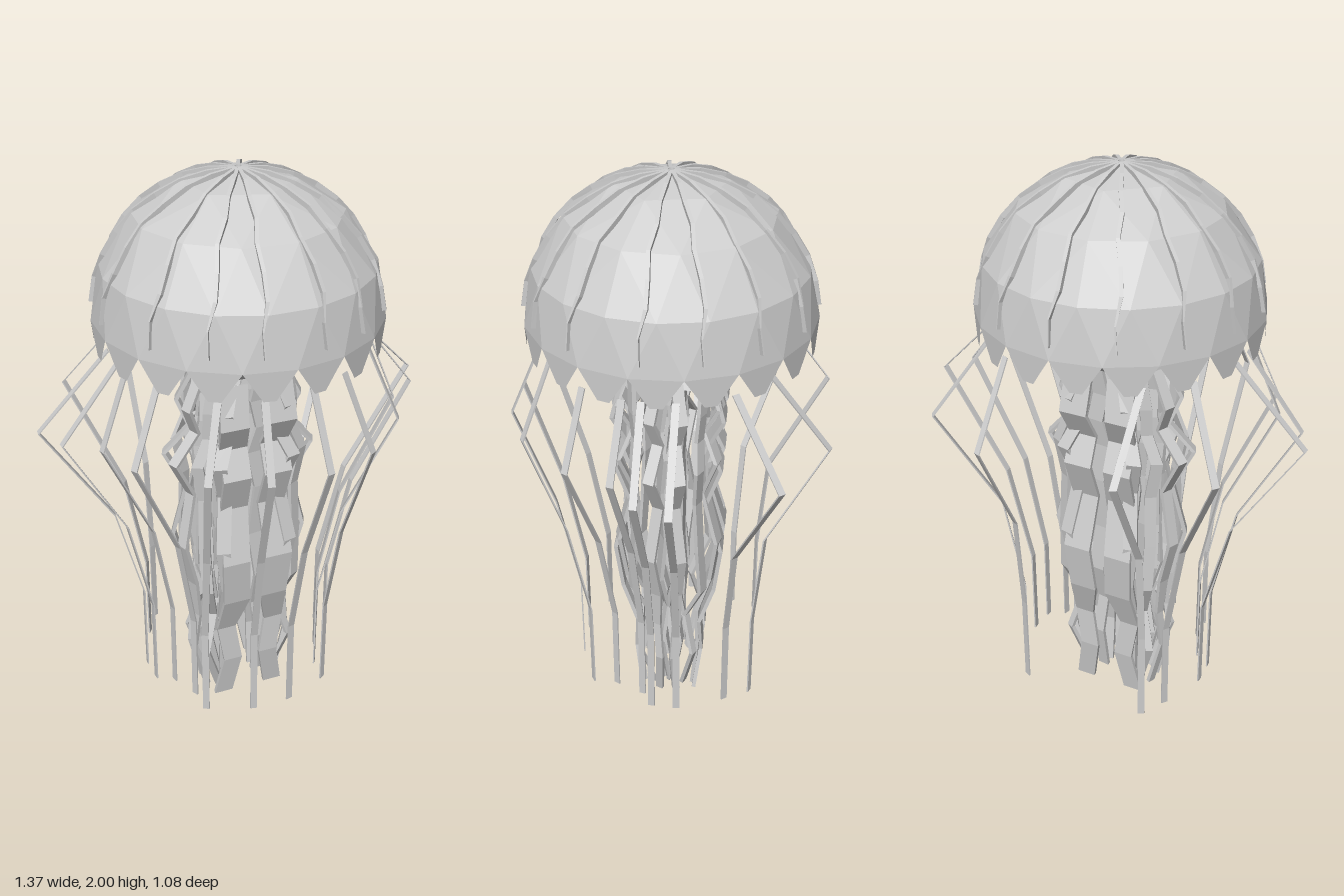
import * as THREE from 'three';

const skin = new THREE.MeshStandardMaterial({ color: 0xcccccc, flatShading: true, side: THREE.DoubleSide });
skin.name = 'pale grey';
const V = (x, y, z) => new THREE.Vector3(x, y, z);
const R = 0.48, H = 0.468, CY = 1.53, SCALLOPS = 18, STEP = Math.PI * 2 / SCALLOPS;

// point on the bell: polar angle from the top, azimuth from the front
function onBell(polar, az, lift = 0) {
  const r = (R + lift) * Math.sin(polar);
  return V(r * Math.sin(az), CY + (H + lift) * Math.cos(polar), r * Math.cos(az));
}

function mesh(name, points, index) {
  const g = new THREE.BufferGeometry().setFromPoints(points);
  g.setIndex(index);
  const flat = g.toNonIndexed();
  flat.computeVertexNormals();
  const m = new THREE.Mesh(flat, skin);
  m.name = name;
  return m;
}

// rectangular strip swept along points; sideOf(i) gives the width direction
function strip(name, path, sideOf, widthOf, thick) {
  const pts = [], idx = [];
  path.forEach((p, i) => {
    const t = path[Math.min(i + 1, path.length - 1)].clone().sub(path[Math.max(i - 1, 0)]).normalize();
    const s = sideOf(i).clone().normalize();
    const n = t.clone().cross(s).normalize();
    const w = widthOf(i) / 2;
    for (const [a, b] of [[-1, -1], [1, -1], [1, 1], [-1, 1]])
      pts.push(p.clone().addScaledVector(s, a * w).addScaledVector(n, b * thick / 2));
    if (i === 0) return;
    const o = (i - 1) * 4;
    for (let j = 0; j < 4; j++) {
      const k = (j + 1) % 4;
      idx.push(o + j, o + k, o + 4 + k, o + j, o + 4 + k, o + 4 + j);
    }
  });
  const e = (path.length - 1) * 4;
  idx.push(0, 2, 1, 0, 3, 2, e, e + 1, e + 2, e, e + 2, e + 3);
  return mesh(name, pts, idx);
}

// faceted dome: rings of 6, 12 and 18 points, then a staggered rim of 18
function makeBell() {
  const rings = [[0, 1], [0.39, 6], [0.78, 12], [1.2, 18], [Math.PI / 2, 18]];
  const pts = [], idx = [], start = [];
  rings.forEach(([polar, n], r) => {
    start.push(pts.length);
    for (let i = 0; i < n; i++) pts.push(onBell(polar, i / n * Math.PI * 2 + (r < 4 ? STEP / 2 : STEP)));
  });
  for (let r = 0; r < 3; r++) {
    const inner = i => start[r] + i % rings[r][1], outer = i => start[r + 1] + i % rings[r + 1][1];
    for (let s = 0; s < 6; s++) {
      for (let k = 0; k <= r; k++) {
        const a = s * r + k, b = s * (r + 1) + k;
        idx.push(inner(a), outer(b), outer(b + 1));
        if (k < r) idx.push(inner(a), outer(b + 1), inner(a + 1));
      }
    }
  }
  for (let i = 0; i < 18; i++) {
    const j = (i + 1) % 18;
    idx.push(start[3] + i, start[4] + i, start[3] + j, start[3] + j, start[4] + i, start[4] + j);
  }
  return mesh('bell', pts, idx);
}

// hanging lobes round the rim, with a notch at the front
function makeSkirt() {
  const pts = [], idx = [];
  const lobe = [[0, 0], [0.2, -0.05], [0.38, -0.097], [0.62, -0.097], [0.8, -0.05], [1, 0]];
  for (let i = 0; i < SCALLOPS; i++) {
    const o = pts.length;
    const a = onBell(Math.PI / 2, i * STEP), b = onBell(Math.PI / 2, (i + 1) * STEP);
    for (const [u, dy] of lobe) pts.push(a.clone().lerp(b, u).setY(CY + dy));
    for (let k = 1; k < 5; k++) idx.push(o, o + k, o + k + 1);
  }
  return mesh('scallopedSkirt', pts, idx);
}

export function createModel() {
  const model = new THREE.Group();
  model.name = 'jellyfish';
  model.add(makeBell(), makeSkirt());

  // shallow underside of the bell
  const under = new THREE.Mesh(new THREE.LatheGeometry(
    [[0, 1.405], [0.2, 1.405], [0.465, 1.525]].map(p => new THREE.Vector2(...p)), 9), skin);
  under.name = 'underside';
  model.add(under);

  // wavy ribs running from the crown to the rim
  const ribs = new THREE.Group();
  ribs.name = 'ribs';
  const wave = [0.15, 0.05, 0.02, 0.04, 0, 0.025, 0.03, -0.01, 0];
  [0, 12, 32, 55, 84, 107, 130, 155].forEach((deg, k) => {
    for (const side of k === 0 ? [1] : [1, -1]) {
      const az = k === 0 ? Math.PI : side * deg * Math.PI / 180;
      const path = wave.map((w, i) => onBell(0.02 + i * 0.183, az + w, -0.004));
      ribs.add(strip('rib', path, () => V(Math.cos(az), 0, -Math.sin(az)), i => i > 6 ? 0.005 : 0.012, 0.016));
    }
  });
  model.add(ribs);

  // long thin tentacles: rim x,z; widest x,z; lower x,z
  const tentacles = new THREE.Group();
  tentacles.name = 'tentacles';
  const layout = [
    [0.08, 0.42, 0.10, 0.53, 0.07, 0.33],
    [0.21, 0.37, 0.28, 0.46, 0.23, 0.27],
    [0.36, 0.24, 0.46, 0.29, 0.24, 0.18],
    [0.42, 0.11, 0.52, 0.14, 0.285, 0.08],
    [0.43, 0.05, 0.63, 0.055, 0.345, 0.04],
    [0.43, -0.055, 0.68, -0.055, 0.35, -0.05],
    [0.36, -0.23, 0.51, -0.385, 0.285, -0.22],
    [0.24, -0.34, 0.24, -0.535, 0.235, -0.31],
  ];
  for (const [ax, az, bx, bz, cx, cz] of layout) {
    for (const m of [1, -1]) {
      const mx = cx + (bx - cx) * 0.28, mz = cz + (bz - cz) * (bz < 0 ? 0.14 : 0.36);
      const path = [V(m * ax, 1.43, az), V(m * bx, 1.175, bz), V(m * mx, 0.8, mz),
        V(m * cx, 0.44, cz), V(m * cx, 0.1, cz)];
      tentacles.add(strip('tentacle', path, () => V(bz, 0, -m * bx), () => 0.024, 0.005));
    }
  }
  model.add(tentacles);

  // wedge-shaped stalk under the bell
  const stalkGeo = new THREE.BoxGeometry(2, 1, 2);
  const pos = stalkGeo.attributes.position;
  for (let i = 0; i < pos.count; i++) {
    const top = pos.getY(i) > 0;
    pos.setXYZ(i, pos.getX(i) * (top ? 0.08 : 0.14), top ? 1.43 : 1.31, pos.getZ(i) * (top ? 0.2 : 0.08));
  }
  stalkGeo.computeVertexNormals();
  const stalk = new THREE.Mesh(stalkGeo, skin);
  stalk.name = 'stalk';
  model.add(stalk);

  // crinkled oral arms in two clusters: x, z, width, bulge, turned sideways
  const arms = new THREE.Group();
  arms.name = 'oralArms';
  const heights = [1.33, 1.22, 1.12, 1.02, 0.88, 0.68, 0.5, 0.35, 0.2, 0];
  const spreadX = [0.75, 0.95, 0.85, 1.2, 0.95, 1.08, 0.95, 0.8, 0.95, 0.65];
  const spreadZ = [1, 1.12, 0.9, 1.08, 0.88, 1.12, 1.08, 0.66, 0.8, 0.56];
  const kinds = [
    [0.075, 0.16, 0.1, -0.6, 0],
    [0.06, 0.045, 0.06, -0.6, 0.1],
    [0.205, 0.04, 0.04, 1, 0.7],
    [0.165, 0.11, 0.04, 1, 0.35],
    [0.11, 0.15, 0.05, 0.7, 0.2],
    [0.13, 0.02, 0.05, 0.8, 0.3],
  ];
  kinds.forEach(([x, z, width, bulge, turn], k) => {
    for (const mx of [1, -1]) for (const mz of [1, -1]) {
      const path = heights.map((y, i) => {
        const kink = (i % 2 ? 1 : -1) * (k % 2 ? -0.008 : 0.008);
        const shift = i > 0 && i < 9 ? k * 0.012 - 0.03 : 0;
        return V(mx * (x * (1 + (spreadX[i] - 1) * bulge) + kink), y + shift, mz * (z * spreadZ[i] + kink));
      });
      arms.add(strip('oralArm', path, () => V(1 - turn, 0, -mx * mz * turn), i => width * (i > 6 ? 0.7 : 1), 0.014));
    }
  });
  model.add(arms);
  return model;
}
